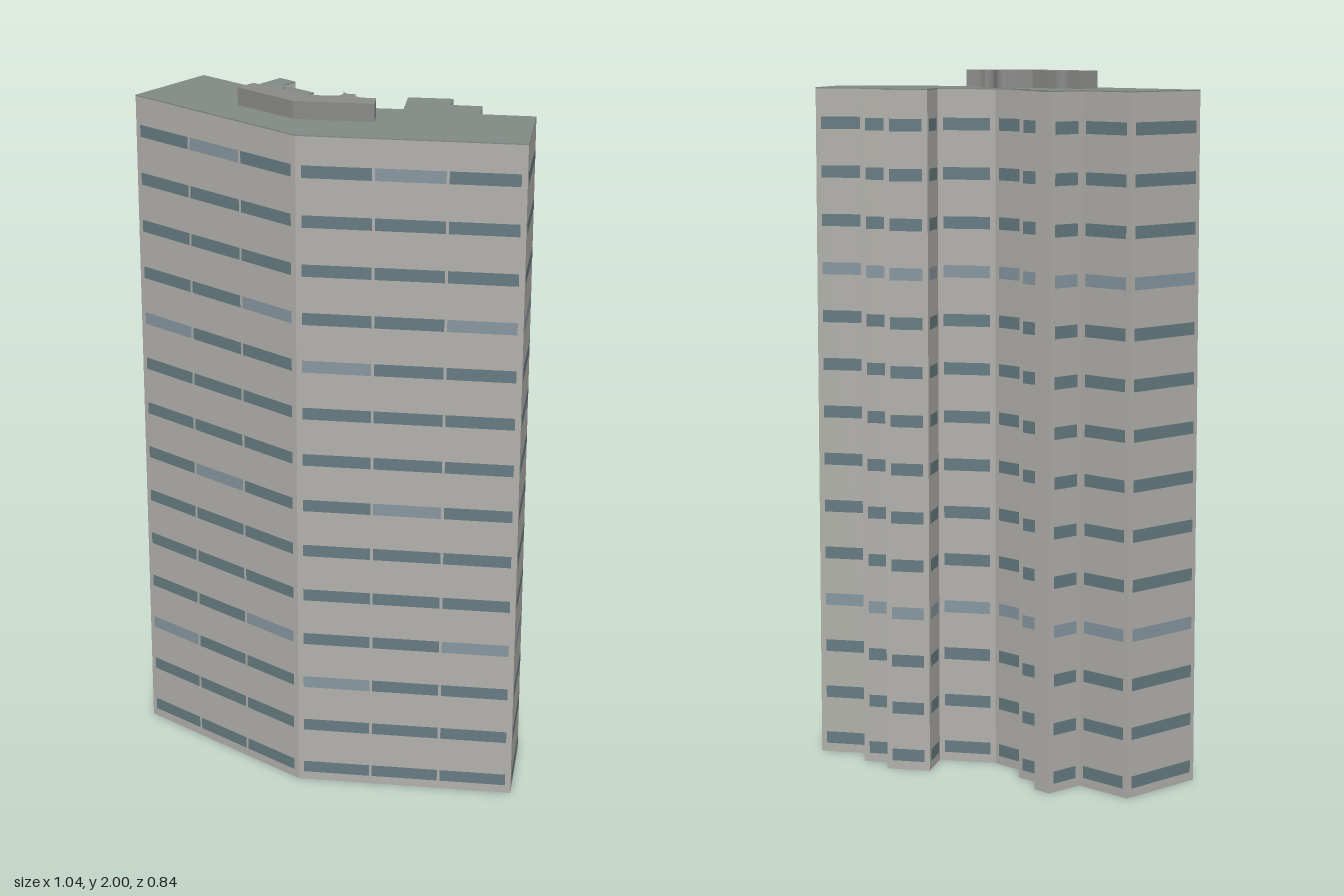
import * as THREE from 'three';
import { mergeGeometries } from 'three/addons/utils/BufferGeometryUtils.js';

const ROOF_Y = 1.95, ROWS = 14, PITCH = 0.139, WIN_H = 0.035;

// Floor plan as [x, z], running left to right along the front
const PLAN = [
  [-0.303, -0.422], [-0.519, -0.253], [-0.153, 0.217], [0.433, 0.417], [0.519, 0.169], [0.375, 0.119],
  [0.4, 0.044], [0.317, 0.014], [0.339, -0.044], [0.219, -0.083], [0.181, 0.031], [0.022, -0.022],
  [-0.069, -0.144], [-0.028, -0.181], [-0.1, -0.272], [-0.058, -0.303], [-0.094, -0.35], [-0.189, -0.278],
];

const material = (color) => new THREE.MeshStandardMaterial({ color, flatShading: true });

// Upright block from a plan shape (shape y = -z)
function block(name, shape, y0, y1, mat) {
  const geo = new THREE.ExtrudeGeometry(shape, { depth: y1 - y0, bevelEnabled: false, curveSegments: 5 });
  geo.rotateX(-Math.PI / 2).translate(0, y0, 0);
  const mesh = new THREE.Mesh(geo, mat);
  mesh.name = name;
  return mesh;
}

// Bent plant room with scooped recesses along its back
function plantRoomShape() {
  const s = new THREE.Shape();
  const line = (x, z) => s.lineTo(x, -z);
  const scoop = (cx, cz, x, z) => s.quadraticCurveTo(cx, -cz, x, -z);
  s.moveTo(-0.206, 0.133);
  line(-0.256, -0.097);
  line(-0.131, 0.067);
  line(0.078, 0.139);
  line(0.094, 0.083);
  line(0.064, 0.073);
  scoop(0.035, 0.062, 0.047, 0.034);
  scoop(0.017, 0.028, 0.021, 0.0);
  scoop(0.015, 0.042, -0.012, 0.038);
  line(-0.045, 0.028);
  line(-0.086, 0.013);
  line(-0.133, -0.05);
  scoop(-0.139, -0.06, -0.13, -0.076);
  line(-0.141, -0.09);
  scoop(-0.158, -0.078, -0.174, -0.092);
  return s;
}

// Rows of window strips on every wall wide enough to hold them
function buildWindows() {
  const dark = [], light = [];
  const margin = 0.016, gap = 0.008;
  PLAN.forEach(([x0, z0], k) => {
    const [x1, z1] = PLAN[(k + 1) % PLAN.length];
    const dx = x1 - x0, dz = z1 - z0, len = Math.hypot(dx, dz);
    if (len < 0.07) return;
    const count = len > 0.5 ? 3 : 1;
    const width = (len - 2 * margin - (count - 1) * gap) / count;
    for (let row = 0; row < ROWS; row++) {
      for (let i = 0; i < count; i++) {
        const t = (margin + width / 2 + i * (width + gap)) / len;
        const geo = new THREE.PlaneGeometry(width, WIN_H);
        geo.translate(0, 0, 0.0012).rotateY(Math.atan2(-dz, dx));
        geo.translate(x0 + dx * t, 0.0425 + row * PITCH, z0 + dz * t);
        // Pale panes repeat every seven floors
        const pale = count === 1 ? row % 7 === 3 : { 2: 0, 3: 2, 6: 1 }[row % 7] === i;
        (pale ? light : dark).push(geo);
      }
    }
  });
  const group = new THREE.Group();
  group.name = 'windows';
  [['darkWindows', dark, 0x667c82], ['paleWindows', light, 0x8797a0]].forEach(([name, list, color]) => {
    const mesh = new THREE.Mesh(mergeGeometries(list), material(color));
    mesh.name = name;
    group.add(mesh);
  });
  return group;
}

export function createModel() {
  const group = new THREE.Group();
  group.name = 'apartmentTower';
  const plan = new THREE.Shape(PLAN.map(([x, z]) => new THREE.Vector2(x, -z)));
  group.add(block('walls', plan, 0, ROOF_Y - 0.003, material(0xb2b1ac)));
  group.add(block('roof', plan, ROOF_Y - 0.003, ROOF_Y, material(0x828a86)));
  group.add(block('plantRoom', plantRoomShape(), ROOF_Y, 2, material(0x8a8b89)));
  group.add(buildWindows());
  return group;
}
